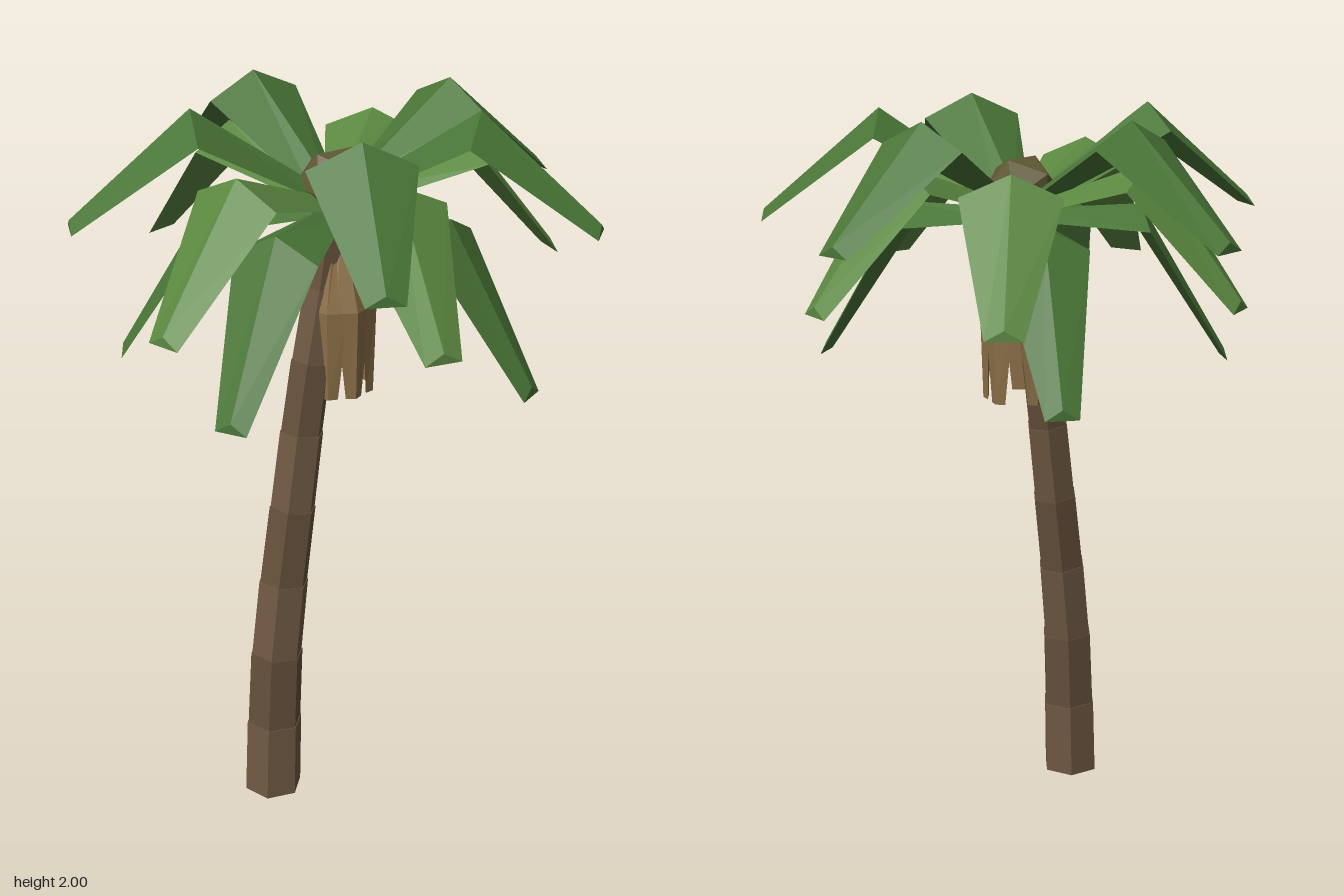
import * as THREE from 'three';

const mat = (color) => new THREE.MeshStandardMaterial({ color, flatShading: true });
const barkA = mat(0x6e5842), barkB = mat(0x65503b), tan = mat(0x8c7048);
const deepGreen = mat(0x4a7637), lightGreen = mat(0x5b8840), olive = mat(0x5f5834);

// Joins rings of points (counter-clockwise seen from the far end) into a capped, faceted solid
function loft(rings) {
  const pos = [];
  const tri = (a, b, c) => pos.push(...a, ...b, ...c);
  const n = rings[0].length;
  for (let k = 0; k + 1 < rings.length; k++) {
    const a = rings[k], b = rings[k + 1];
    for (let i = 0; i < n; i++) {
      const j = (i + 1) % n;
      tri(a[i], a[j], b[j]);
      tri(a[i], b[j], b[i]);
    }
  }
  const first = rings[0], last = rings[rings.length - 1];
  for (let i = 1; i + 1 < n; i++) {
    tri(first[0], first[i + 1], first[i]);
    tri(last[0], last[i], last[i + 1]);
  }
  const g = new THREE.BufferGeometry();
  g.setAttribute('position', new THREE.Float32BufferAttribute(pos, 3));
  g.computeVertexNormals();
  return g;
}

// Ridged leaf; sections are [ridge reach, ridge height, half width, ridge rise], rise along (ux, uy)
function leafGeometry(sections, ux, uy) {
  return loft(sections.map(([r, y, w, h]) => [
    [r - h * ux, y - h * uy, -w], [r, y, 0], [r - h * ux, y - h * uy, w],
  ]));
}

const CX = -0.02, CZ = 0.025; // crown centre

export function createModel() {
  const model = new THREE.Group();
  const add = (name, geometry, material, parent = model) => {
    const m = new THREE.Mesh(geometry, material);
    m.name = name;
    parent.add(m);
    return m;
  };

  // Leaning trunk of stacked, slightly flared segments
  const trunk = new THREE.Group();
  trunk.name = 'trunk';
  model.add(trunk);
  const path = [[-0.255, 0], [-0.247, 0.22], [-0.235, 0.44], [-0.208, 0.66], [-0.175, 0.88],
    [-0.142, 1.1], [-0.108, 1.3], [-0.068, 1.5], [-0.025, 1.74]];
  const SIDES = 6;
  const ring = (k, r) => {
    const [x, y] = path[k];
    const a = path[Math.max(k - 1, 0)], b = path[Math.min(k + 1, path.length - 1)];
    const slope = k === 0 ? 0 : (b[0] - a[0]) / (b[1] - a[1]);
    return Array.from({ length: SIDES }, (_, i) => {
      const t = -(i / SIDES) * Math.PI * 2 + 0.3;
      const dx = Math.cos(t) * r;
      return [x + dx, y - dx * slope, 0.03 + Math.sin(t) * r];
    });
  };
  for (let k = 0; k + 1 < path.length; k++) {
    const r0 = 0.083 - 0.0047 * k, r1 = r0 - 0.002;
    add('trunkSegment', loft([ring(k, r0), ring(k + 1, r1)]), k % 2 ? barkB : barkA, trunk);
  }

  // Crown heart
  add('crownHeart', new THREE.IcosahedronGeometry(0.108, 0), olive).position.set(CX - 0.005, 1.775, CZ);

  // Fronds in three tiers; each tip is a plan position [x, z]
  const tiers = [
    {
      name: 'upperFrond', material: deepGreen,
      sections: [[0.04, 1.77, 0.045, 0.03], [0.38, 2.0, 0.14, 0.065], [0.7, 1.725, 0.05, 0.028]],
      tips: [[0.68, 0.03], [-0.01, -0.68], [-0.66, -0.28], [-0.35, 0.655], [0.415, 0.58]],
    },
    {
      name: 'middleFrond', material: lightGreen,
      sections: [[0.04, 1.75, 0.045, 0.03], [0.375, 1.88, 0.135, 0.06], [0.645, 1.54, 0.05, 0.028]],
      tips: [[-0.655, 0.155], [0.6, 0.18], [-0.17, 0.65], [0.49, -0.365], [-0.17, -0.6]],
    },
    {
      name: 'lowerFrond', material: deepGreen,
      sections: [[0.03, 1.73, 0.045, 0.03], [0.335, 1.735, 0.12, 0.06], [0.58, 1.32, 0.045, 0.028]],
      tips: [[0.21, 0.555], [0.335, -0.42], [-0.545, 0.28], [-0.47, -0.34]],
    },
  ];
  for (const { name, material, sections, tips } of tiers) {
    const geometry = leafGeometry(sections, 0, 1);
    for (const [x, z] of tips) {
      const frond = add(name, geometry, material);
      frond.position.set(CX, 0, CZ);
      frond.rotation.y = Math.atan2(CZ - z, x - CX);
    }
  }

  // Skirt of dry leaves hanging below the crown
  const dry = leafGeometry([[0.025, 1.7, 0.012, 0.012], [0.108, 1.45, 0.052, 0.025],
    [0.1, 1.2, 0.024, 0.014]], 1, 0);
  for (const degrees of [0, 52, 97, 142, 238, 288]) {
    const leaf = add('dryLeaf', dry, tan);
    leaf.position.set(CX, 0, CZ + 0.005);
    leaf.rotation.y = -THREE.MathUtils.degToRad(degrees);
  }

  return model;
}
